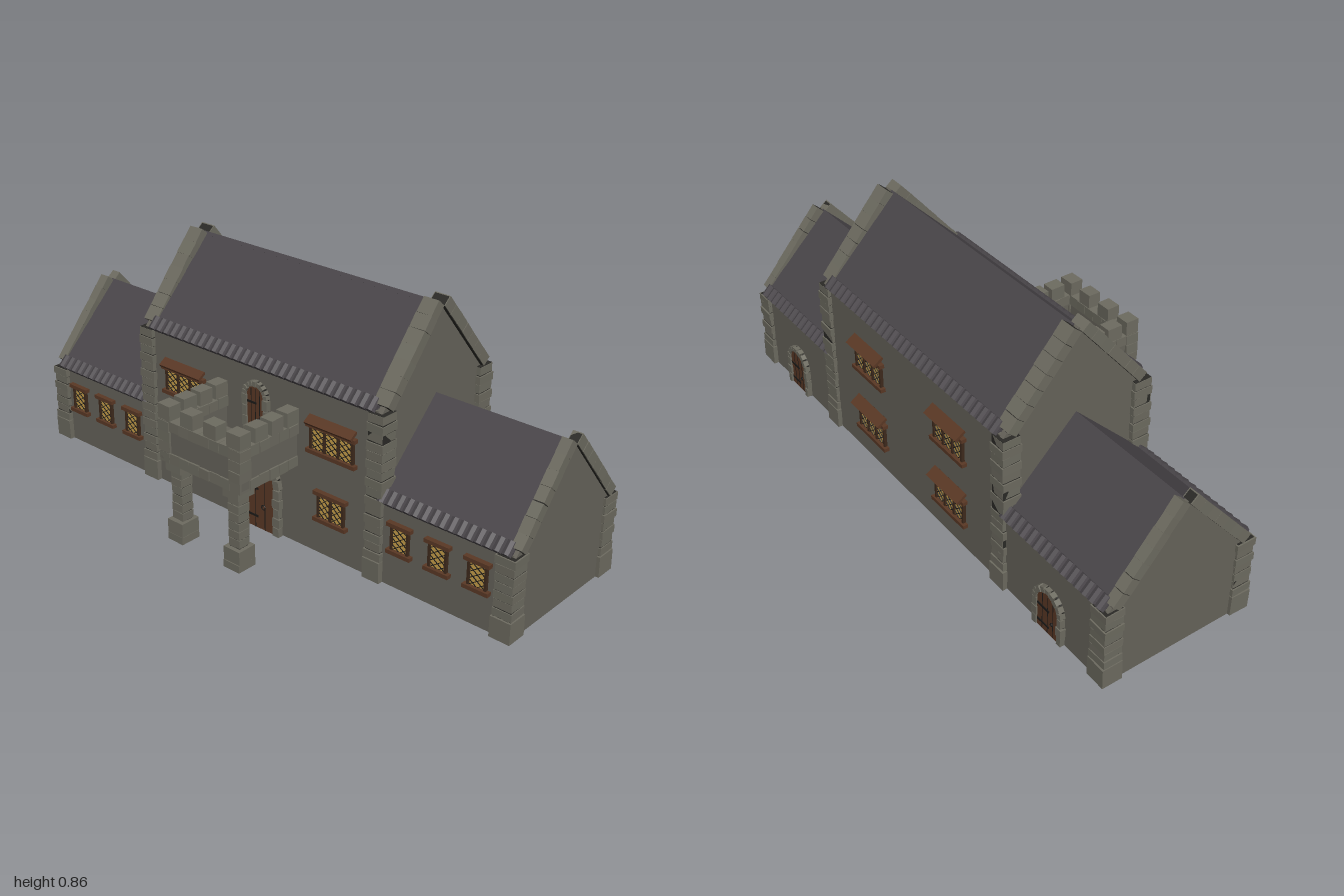
import * as THREE from 'three';

const mat = (color) => new THREE.MeshStandardMaterial({ color, flatShading: true, side: THREE.DoubleSide });
const WALL = mat(0x66635a), STONE = mat(0x6d6b60), MORTAR = mat(0x2a2926), ROOF = mat(0x4a464a);
const WOOD = mat(0x5a3825), TRIM = mat(0x3e2a1c), GLASS = mat(0xc9a04a), IRON = mat(0x1c1a18);

const ZF = 0.145, ZB = -0.375, ZC = -0.115; // front wall, back wall, ridge line
const MAIN = { eave: 0.57, ridge: 0.845, apex: 0.836 };
const WING = { eave: 0.285, ridge: 0.553, apex: 0.546 };

let seed = 7;
const rand = () => (seed = (seed * 16807) % 2147483647) / 2147483647;
const jit = (a) => (rand() - 0.5) * 2 * a;

function add(parent, name, geo, material, x = 0, y = 0, z = 0) {
  const m = new THREE.Mesh(geo, material);
  m.name = name;
  m.position.set(x, y, z);
  parent.add(m);
  return m;
}
const box = (p, name, w, h, d, x, y, z, material) => add(p, name, new THREE.BoxGeometry(w, h, d), material, x, y, z);

function group(parent, name, x = 0, y = 0, z = 0, ry = 0) {
  const g = new THREE.Group();
  g.name = name;
  g.position.set(x, y, z);
  g.rotation.y = ry;
  parent.add(g);
  return g;
}

// Roughly cut block, slightly uneven in size and angle
function stone(p, w, h, d, x, y, z) {
  const m = box(p, 'stone', w + jit(0.002), h - 0.003, d + jit(0.003), x, y, z, STONE);
  m.rotation.set(jit(0.02), jit(0.02), jit(0.02));
  return m;
}

// Profile in (z, y), extruded along x
function slabX(p, name, pts, x0, depth) {
  const shape = new THREE.Shape(pts.map(([z, y]) => new THREE.Vector2(-z, y)));
  const m = add(p, name, new THREE.ExtrudeGeometry(shape, { depth, bevelEnabled: false }), WALL, x0, 0, 0);
  m.rotation.y = Math.PI / 2;
}

// Stacked corner stones over a dark core
function quoin(p, x, z, w, top) {
  const g = group(p, 'cornerStones', x, 0, z), d = 0.068;
  box(g, 'mortarCore', w - 0.008, top - 0.01, d - 0.008, 0, (top + 0.01) / 2, 0, MORTAR);
  stone(g, w + 0.004, 0.074, d + 0.004, 0, 0.046, 0);
  const n = Math.round((top - 0.083) / 0.03), h = (top - 0.083) / n;
  for (let i = 0; i < n; i++) stone(g, w - (i % 2) * 0.006, h, d - (i % 2) * 0.005, 0, 0.083 + h * (i + 0.5), 0);
}

// Sloping gable stones, both sides of the ridge
function coping(p, x, w, roof) {
  const g = group(p, 'gableCoping', x, 0, ZC), run = 0.225, rise = roof.apex - roof.eave;
  const len = Math.hypot(run, rise), ang = Math.atan2(rise, run), n = 7;
  for (const s of [1, -1]) {
    const side = group(g, 'copingSlope', 0, roof.apex, 0, s > 0 ? 0 : Math.PI);
    const slope = group(side, 'copingRun');
    slope.rotation.x = ang;
    box(slope, 'mortarCore', w - 0.006, 0.032, len, 0, 0.017, len / 2, MORTAR);
    for (let i = 0; i < n; i++) stone(slope, w, 0.038, len / n - 0.001, 0, 0.019, len * (i + 0.5) / n);
  }
}

// Two roof planes with a row of half-round eave tiles
function roofOver(p, name, x0, x1, roof) {
  const g = group(p, name, (x0 + x1) / 2, 0, ZC), w = x1 - x0;
  const run = 0.262, rise = roof.ridge - roof.eave - 0.01;
  const len = Math.hypot(run, rise), ang = Math.atan2(rise, run), n = Math.round(w / 0.032);
  for (const s of [0, Math.PI]) {
    const side = group(g, 'roofSide', 0, roof.ridge, 0, s);
    const slope = group(side, 'roofSlope');
    slope.rotation.x = ang;
    box(slope, 'roofPlane', w, 0.014, len, 0, -0.007, len / 2, ROOF);
    for (let i = 0; i < n; i++) {
      const t = add(slope, 'eaveTile', new THREE.CylinderGeometry(0.0165, 0.0165, 0.045, 8), ROOF, -w / 2 + w * (i + 0.5) / n, -0.004, len - 0.012);
      t.rotation.x = Math.PI / 2;
    }
  }
}

// Leaded window in a wall frame whose +z points outward
function windowAt(p, x, y, w, h, panes, back, hood = 0) {
  const g = group(p, 'window', x, y, back ? ZB : ZF, back ? Math.PI : 0);
  box(g, 'glass', w, h, 0.006, 0, 0, 0.002, GLASS);
  const pw = w / panes;
  for (let i = 0; i <= panes; i++) box(g, 'mullion', 0.008, h, 0.014, -w / 2 + pw * i, 0, 0.004, TRIM);
  for (const s of [1, -1]) box(g, s > 0 ? 'lintel' : 'sill', w + 0.03, 0.013, 0.024, 0, s * (h / 2 + 0.004), 0.006, WOOD);
  const bar = (x0, y0, x1, y1) => {
    const m = box(g, 'leadBar', Math.hypot(x1 - x0, y1 - y0), 0.002, 0.003, (x0 + x1) / 2, (y0 + y1) / 2, 0.006, IRON);
    m.rotation.z = Math.atan2(y1 - y0, x1 - x0);
  };
  for (let i = 0; i < panes; i++) {
    const c = -w / 2 + pw * (i + 0.5), a = pw / 2, b = h / 2;
    for (const s of [1, -1]) {
      bar(c - s * a, -b, c + s * a, 0);
      bar(c - s * a, 0, c + s * a, b);
      bar(c, -b, c + s * a, -b / 2);
      bar(c - s * a, b / 2, c, b);
      bar(c - s * a, -b / 2, c + s * a, b / 2);
    }
  }
  if (hood) {
    const r = box(g, 'hood', w + 0.02, 0.01, hood, 0, h / 2 + 0.022, hood * 0.42, WOOD);
    r.rotation.x = 0.6;
    for (const s of [1, -1]) box(g, 'hoodBracket', 0.01, 0.024, hood * 0.6, s * w * 0.46, h / 2 + 0.01, hood * 0.3, WOOD);
  }
}

// Round-headed plank door with a stone surround
function door(p, x, y, r, spring, rim, back) {
  const g = group(p, 'archedDoor', x, y, back ? ZB : ZF, back ? Math.PI : 0);
  const arch = (R) => {
    const s = new THREE.Shape();
    s.moveTo(-R, 0);
    s.lineTo(R, 0);
    s.lineTo(R, spring);
    s.absarc(0, spring, R, 0, Math.PI, false);
    return s;
  };
  const leaf = (R, depth) => new THREE.ExtrudeGeometry(arch(R), { depth, bevelEnabled: false, curveSegments: 10 });
  add(g, 'doorMortar', leaf(r + rim * 0.9, 0.007), MORTAR, 0, 0, -0.001);
  add(g, 'doorLeaf', leaf(r, 0.011), WOOD);
  for (const k of [-0.5, 0, 0.5]) box(g, 'plankGap', 0.002, spring + r * 0.7, 0.002, k * r, (spring + r * 0.7) / 2, 0.011, IRON);
  for (const k of [0.25, 0.85]) box(g, 'hingeStrap', r * 1.1, 0.007, 0.003, -r * 0.4, spring * k, 0.012, IRON);
  add(g, 'ringHandle', new THREE.TorusGeometry(r * 0.1, 0.002, 5, 12), IRON, r * 0.45, spring * 0.5, 0.014);
  const n = 9, R = r + rim / 2;
  for (let i = 0; i < n; i++) {
    const a = Math.PI * (i + 0.5) / n;
    stone(g, rim, Math.PI * R / n, 0.02, R * Math.cos(a), spring + R * Math.sin(a), 0.008).rotation.z = a;
  }
  const m = Math.max(1, Math.round(spring / 0.035)), h = spring / m;
  for (const s of [1, -1]) for (let i = 0; i < m; i++) stone(g, rim + (i % 2) * 0.006, h, 0.02, s * R, h * (i + 0.5), 0.008);
}

// Battlemented porch carried on two piers
function porch(p) {
  const g = group(p, 'porch', 0.01, 0, 0), W = 0.175, zEnd = 0.41, zWall = 0.15;
  box(g, 'balconyFloor', 2 * W - 0.02, 0.025, 0.25, 0, 0.312, 0.275, WALL);
  for (const s of [1, -1]) {
    const q = group(g, 'pier', s * 0.125, 0, 0.367);
    box(q, 'pierBase', 0.066, 0.026, 0.074, 0, 0.021, 0, STONE);
    stone(q, 0.066, 0.05, 0.072, 0, 0.058, 0);
    box(q, 'pierCore', 0.04, 0.2, 0.04, 0, 0.18, 0, MORTAR);
    for (let i = 0; i < 6; i++) stone(q, 0.046, 0.03, 0.046, 0, 0.098 + i * 0.03, 0);
    stone(q, 0.066, 0.038, 0.074, 0, 0.277, 0);
  }
  // One parapet run: base course, wall, top course, merlons
  const run = (name, x, z, ry, len, count, first) => {
    const r = group(g, name, x, 0, z, ry);
    box(r, 'parapetWall', len, 0.13, 0.034, 0, 0.365, 0, WALL);
    const n = Math.round(len / 0.042), w = len / n;
    for (const y of [0.308, 0.42]) for (let i = 0; i < n; i++) stone(r, w - 0.002, 0.038 + jit(0.002), 0.046, -len / 2 + w * (i + 0.5), y, 0);
    for (let i = first; i < count; i++) stone(r, 0.054, 0.052, 0.046, -len / 2 + 0.026 + (len - 0.052) * i / (count - 1), 0.464, 0);
  };
  run('frontParapet', 0, zEnd - 0.023, 0, 2 * W, 4, 0);
  for (const s of [1, -1]) {
    run('sideParapet', s * (W - 0.023), (zEnd + zWall) / 2, Math.PI / 2, zEnd - zWall, 4, 1);
    for (let i = 0; i < 3; i++) stone(g, 0.048, 0.038, 0.048, s * (W - 0.022), 0.345 + i * 0.036, zEnd - 0.022);
  }
}

export function createModel() {
  const root = new THREE.Group();
  root.name = 'manorHouse';

  // Long walls, open underneath
  for (const z of [ZF - 0.008, ZB + 0.008]) {
    box(root, 'mainWall', 0.98, MAIN.eave - 0.005, 0.016, 0, (MAIN.eave + 0.015) / 2, z, WALL);
    for (const s of [1, -1]) box(root, 'wingWall', 0.5, WING.eave - 0.005, 0.016, s * 0.73, (WING.eave + 0.015) / 2, z, WALL);
  }

  roofOver(root, 'mainRoof', -0.48, 0.48, MAIN);
  for (const s of [1, -1]) {
    // End gable of the wing, and main gable above the wing roof
    slabX(root, 'wingGable', [[ZF, 0.01], [ZF, WING.eave], [ZC, WING.ridge], [ZB, WING.eave], [ZB, 0.01]], s * 0.98 - 0.008, 0.016);
    slabX(root, 'mainGable', [[ZF, 0.27], [ZF, MAIN.eave], [ZC, MAIN.ridge], [ZB, MAIN.eave], [ZB, 0.27], [ZC, 0.53]], s * 0.495 - 0.01, 0.02);
    roofOver(root, 'wingRoof', Math.min(s * 0.5, s * 0.975), Math.max(s * 0.5, s * 0.975), WING);
    coping(root, s * 0.491, 0.058, MAIN);
    coping(root, s * 0.981, 0.036, WING);
    for (const z of [0.127, -0.355]) {
      quoin(root, s * 0.491, z, 0.064, MAIN.eave);
      quoin(root, s * 0.964, z, 0.068, WING.eave);
    }
    // Windows and back doors
    windowAt(root, s * 0.32, 0.41, 0.165, 0.08, 3, false, 0.034);
    windowAt(root, s * 0.32, 0.183, 0.1, 0.085, 2, false);
    for (const x of [0.59, 0.73, 0.87]) windowAt(root, s * x, 0.185, 0.06, 0.085, 1, false);
    for (const y of [0.4, 0.158]) windowAt(root, s * 0.23, y, 0.15, 0.085, 3, true, 0.042);
    door(root, s * 0.74, 0.01, 0.05, 0.105, 0.018, true);
  }

  // Entrance, balcony door and porch
  door(root, 0.005, 0.005, 0.082, 0.17, 0.024, false);
  door(root, 0.008, 0.325, 0.036, 0.15, 0.016, false);
  porch(root);
  return root;
}
